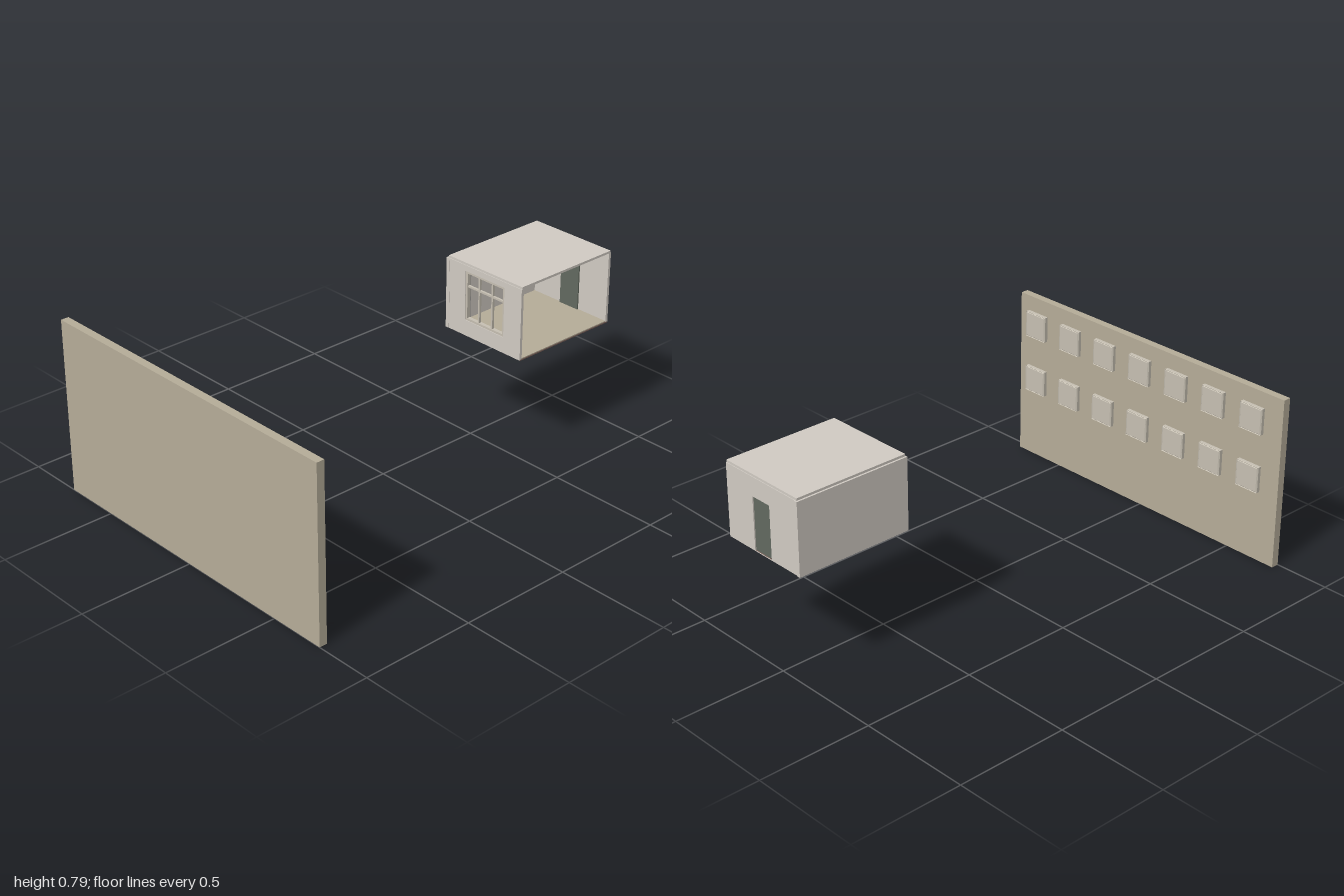
import * as THREE from 'three';

const mat = (name, color, side = THREE.FrontSide) => {
  const m = new THREE.MeshStandardMaterial({ color, side });
  m.name = name;
  return m;
};

export function createModel() {
  const model = new THREE.Group();
  model.name = 'roomAndFacade';
  const stone = mat('facadeStone', 0xb5ac98);
  const plaster = mat('plaster', 0xd0cac2);
  const trim = mat('windowTrim', 0xc6bfb2);
  const glass = mat('glass', 0x82939a);
  const doorGreen = mat('doorGreen', 0x62695f);
  const brown = mat('undersideBrown', 0x7c625a);
  const metal = mat('greyMetal', 0xa5a39f);

  // Box given by its lower and upper limits
  function box(parent, name, material, [x0, x1], [y0, y1], [z0, z1]) {
    const mesh = new THREE.Mesh(new THREE.BoxGeometry(x1 - x0, y1 - y0, z1 - z0), material);
    mesh.position.set((x0 + x1) / 2, (y0 + y1) / 2, (z0 + z1) / 2);
    mesh.name = name;
    parent.add(mesh);
    return mesh;
  }

  // Upright panel facing x, with one rectangular opening; each rect is [z0, z1, y0, y1]
  function panel(parent, name, material, xMax, depth, outer, hole, bevel = 0) {
    const trace = (p, [z0, z1, y0, y1]) =>
      p.moveTo(z0, y0).lineTo(z1, y0).lineTo(z1, y1).lineTo(z0, y1).closePath();
    const shape = trace(new THREE.Shape(), outer);
    shape.holes.push(trace(new THREE.Path(), hole));
    const geo = new THREE.ExtrudeGeometry(shape, {
      depth, bevelEnabled: bevel > 0, bevelSize: bevel, bevelThickness: bevel, bevelOffset: -bevel, bevelSegments: 1,
    });
    geo.rotateY(-Math.PI / 2);
    const mesh = new THREE.Mesh(geo, material);
    mesh.position.x = xMax;
    mesh.name = name;
    parent.add(mesh);
  }

  // Facade slab with two rows of seven framed windows
  const facade = new THREE.Group();
  facade.name = 'facade';
  model.add(facade);
  box(facade, 'facadeWall', stone, [-1, -0.965], [0, 0.762], [-0.75, 0.75]);
  for (const y of [0.373, 0.635]) {
    for (let i = 0; i < 7; i++) {
      const z = 0.643 - i * 0.2068;
      const rect = (h) => [z - h, z + h, y - h - 0.001, y + h + 0.001];
      panel(facade, 'facadeWindowFrame', trim, -0.951, 0.018, rect(0.057), rect(0.052), 0.005);
      box(facade, 'facadeWindowPane', glass, [-0.967, -0.958], [y - 0.05, y + 0.05], [z - 0.049, z + 0.049]);
    }
  }

  // Room shell, open at the front
  const room = new THREE.Group();
  room.name = 'room';
  model.add(room);
  const front = 0.295, back = -0.112, low = 0.465, high = 0.78;
  box(room, 'backWall', plaster, [0.472, 1], [low, high], [-0.13, back]);
  box(room, 'roof', plaster, [0.476, 0.994], [high, 0.79], [-0.122, front]);
  box(room, 'floorUnderside', brown, [0.476, 0.994], [low - 0.002, low + 0.003], [-0.122, front]);
  box(room, 'floor', stone, [0.484, 0.986], [low + 0.003, low + 0.007], [back, front - 0.001]);

  // Side wall with doorway and recessed door
  panel(room, 'doorWall', plaster, 0.997, 0.012, [back, front, low, high], [0.04, 0.14, low + 0.001, 0.697]);
  box(room, 'door', doorGreen, [0.979, 0.992], [low + 0.001, 0.697], [0.04, 0.14]);

  // Side wall with the large window
  const win = [-0.02, 0.2, 0.535, 0.755];
  panel(room, 'windowWall', plaster, 0.485, 0.012, [back, front, low, high], win);
  panel(room, 'windowCasing', trim, 0.492, 0.016, win,
    [win[0] + 0.01, win[1] - 0.01, win[2] + 0.01, win[3] - 0.01]);
  for (const z of [0.053, 0.127])
    box(room, 'windowMullion', trim, [0.479, 0.489], [win[2], win[3]], [z - 0.004, z + 0.004]);
  box(room, 'windowTransom', trim, [0.479, 0.489], [0.683, 0.691], [win[0], win[1]]);
  box(room, 'windowSill', trim, [0.485, 0.506], [0.529, 0.536], [-0.03, 0.21]);

  // Radiator ribs below the sill
  for (let i = 0; i < 9; i++) {
    const z = 0.034 + i * 0.014;
    box(room, 'radiatorRib', metal, [0.487, 0.502], [0.482, 0.522], [z - 0.005, z + 0.005]);
  }
  for (const y of [0.487, 0.515])
    box(room, 'radiatorPipe', metal, [0.491, 0.497], [y - 0.003, y + 0.003], [0.025, 0.155]);

  // Narrow drawn curtains and their rail
  for (const start of [-0.045, 0.2]) {
    for (let i = 0; i < 3; i++) {
      const fold = new THREE.Mesh(new THREE.CylinderGeometry(0.006, 0.006, 0.29, 8), metal);
      fold.position.set(0.502, 0.622, start + i * 0.01);
      fold.name = 'curtainFold';
      room.add(fold);
    }
  }
  box(room, 'curtainRail', trim, [0.498, 0.508], [0.767, 0.775], [-0.06, 0.235]);

  // Flat ceiling lights
  for (const x of [0.61, 0.855])
    box(room, 'ceilingLight', trim, [x - 0.012, x + 0.012], [0.774, high], [0.03, 0.15]);

  return model;
}
